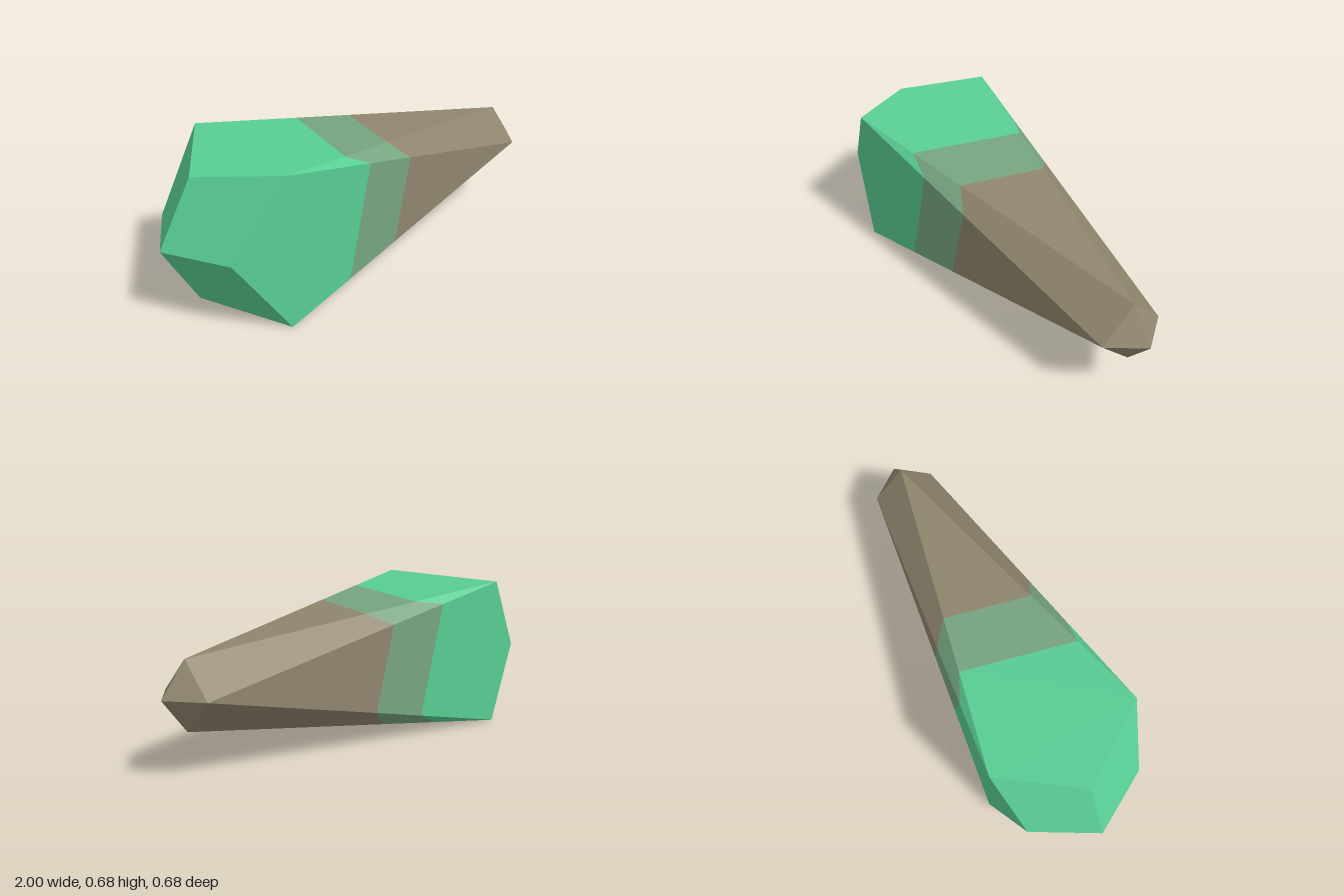
import * as THREE from 'three';
import { mergeGeometries } from 'three/addons/utils/BufferGeometryUtils.js';

const V = (x, y, z) => new THREE.Vector3(x, y, z);

// Flat convex polygon, corners counter-clockwise, with an optional shared normal
function poly(corners, normal) {
  const n = normal || corners[1].clone().sub(corners[0])
    .cross(corners[2].clone().sub(corners[0])).normalize();
  const pos = [], nor = [];
  for (let i = 1; i < corners.length - 1; i++) {
    for (const p of [corners[0], corners[i], corners[i + 1]]) {
      pos.push(p.x, p.y, p.z);
      nor.push(n.x, n.y, n.z);
    }
  }
  const g = new THREE.BufferGeometry();
  g.setAttribute('position', new THREE.Float32BufferAttribute(pos, 3));
  g.setAttribute('normal', new THREE.Float32BufferAttribute(nor, 3));
  return g;
}

// Point on the edge a-b at a given x
const atX = (a, b, x) => a.clone().lerp(b, (x - a.x) / (b.x - a.x));

export function createModel() {
  const group = new THREE.Group();
  group.name = 'crystalShard';
  const half = 0.338;

  const green = new THREE.MeshStandardMaterial({ color: 0x58cd93 });
  green.name = 'crystalGreen';
  const sage = new THREE.MeshStandardMaterial({ color: 0x76a480 });
  sage.name = 'blendSage';
  const stone = new THREE.MeshStandardMaterial({ color: 0x8f856e });
  stone.name = 'stoneBrown';

  // Corners of one quarter; the next quarter is a quarter turn about x
  const head = V(-1, 0, 0), tip = V(1, 0, 0);
  const crown = V(-0.845, 0, 0.276), crownNext = V(-0.845, -0.276, 0);
  const top = V(-0.62, half, half), bottom = V(-0.62, -half, half);
  const tail = V(0.89, 0, 0.146), tailNext = V(0.89, -0.146, 0);

  // Colour borders slant from the leading to the trailing edge of each side
  const lead = [-0.165, 0.09], trail = [-0.285, 0];
  const [t1, t2] = lead.map(x => atX(top, tail, x));
  const [b1, b2] = trail.map(x => atX(bottom, tail, x));
  const [n1, n2] = lead.map(x => atX(bottom, tailNext, x));
  const side = tail.clone().sub(crown).cross(top.clone().sub(bottom)).normalize();

  const parts = [
    ['crystalHead', green, [
      poly([head, crownNext, bottom, crown]),
      poly([crown, bottom, top], side),
      poly([bottom, b1, t1, top], side),
      poly([bottom, n1, b1]),
    ]],
    ['middleBand', sage, [
      poly([b1, b2, t2, t1], side),
      poly([b1, n1, n2, b2]),
    ]],
    ['stoneTail', stone, [
      poly([b2, tail, t2], side),
      poly([b2, n2, tailNext, tail]),
      poly([tail, tailNext, tip]),
    ]],
  ];

  for (const [name, material, faces] of parts) {
    const quarter = mergeGeometries(faces);
    const turns = [0, 1, 2, 3].map(k => quarter.clone().rotateX(k * Math.PI / 2));
    const mesh = new THREE.Mesh(mergeGeometries(turns), material);
    mesh.name = name;
    mesh.position.y = half;
    group.add(mesh);
  }
  return group;
}
